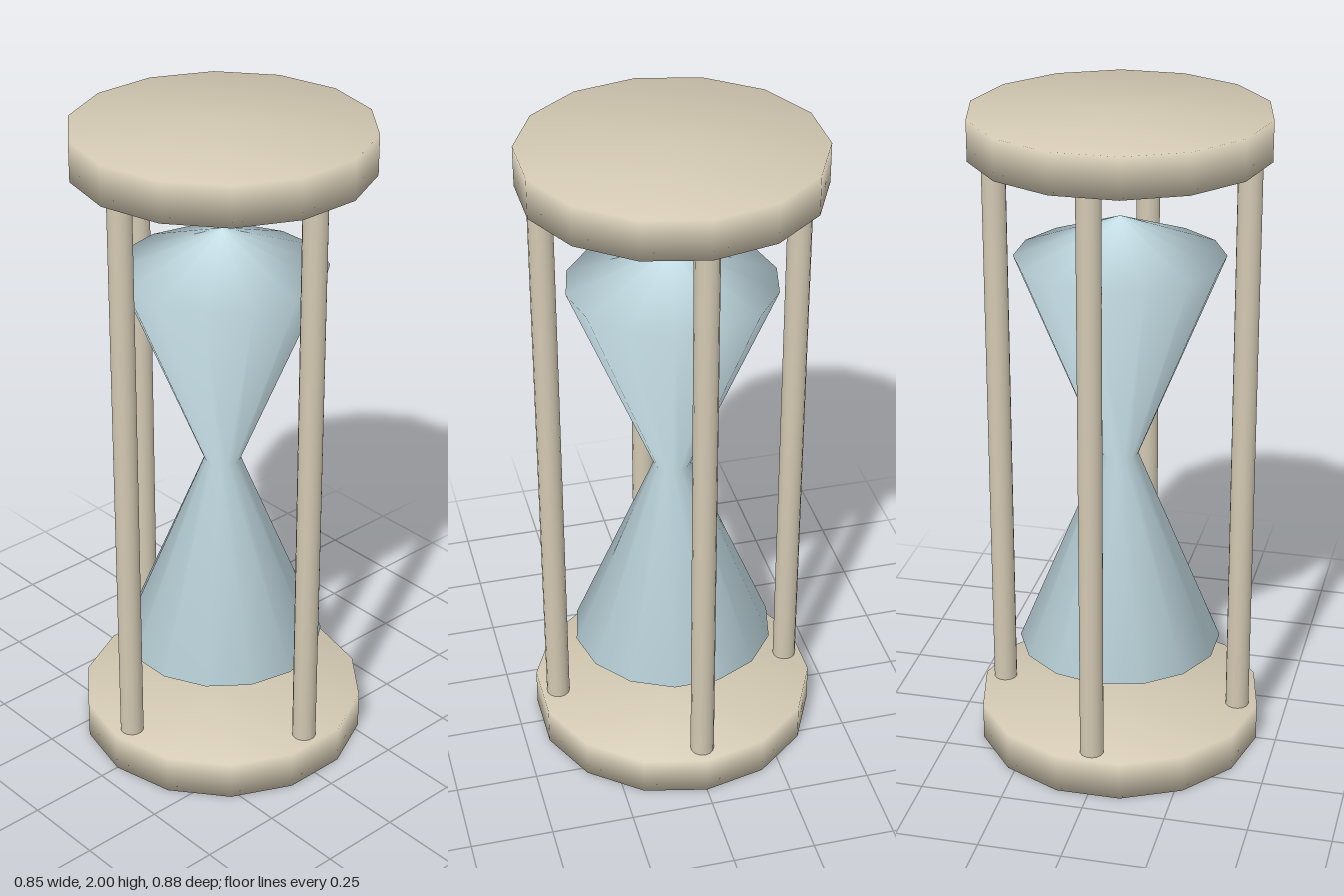
import * as THREE from 'three';
import { mergeVertices } from 'three/addons/utils/BufferGeometryUtils.js';

const SIDES = 14;
const wood = new THREE.MeshStandardMaterial({ color: 0xd2c8b2 });
const glass = new THREE.MeshStandardMaterial({ color: 0xc6dfe7 });

// Cylinder whose caps and wall share normals, for soft shading
function softCylinder(radius, height) {
  const geometry = new THREE.CylinderGeometry(radius, radius, height, SIDES);
  geometry.deleteAttribute('normal');
  geometry.deleteAttribute('uv');
  const merged = mergeVertices(geometry);
  merged.computeVertexNormals();
  return merged;
}

export function createModel() {
  const group = new THREE.Group();
  const add = (name, geometry, material, x, y, z) => {
    const mesh = new THREE.Mesh(geometry, material);
    mesh.name = name;
    mesh.position.set(x, y, z);
    group.add(mesh);
    return mesh;
  };

  // End plates
  const plate = softCylinder(0.438, 0.12);
  add('bottomPlate', plate, wood, 0, 0.06, 0);
  add('topPlate', plate, wood, 0, 1.94, 0);

  // Four posts, let into both plates
  const post = softCylinder(0.036, 1.94);
  ['leftPost', 'frontPost', 'rightPost', 'backPost'].forEach((name, i) => {
    const angle = i * Math.PI / 2;
    add(name, post, wood, 0.375 * Math.cos(angle), 0.975, 0.375 * Math.sin(angle));
  });

  // Two glass bulbs meeting at a narrow neck
  const profile = [[0, 0.195], [0.31, 0.317], [0.055, 0.943], [0.31, 1.569], [0, 1.691]]
    .map(([r, y]) => new THREE.Vector2(r, y));
  const bulbs = add('glassBulbs', new THREE.LatheGeometry(profile, SIDES), glass, 0, 0, 0);
  bulbs.rotation.y = Math.PI / 2;

  return group;
}
